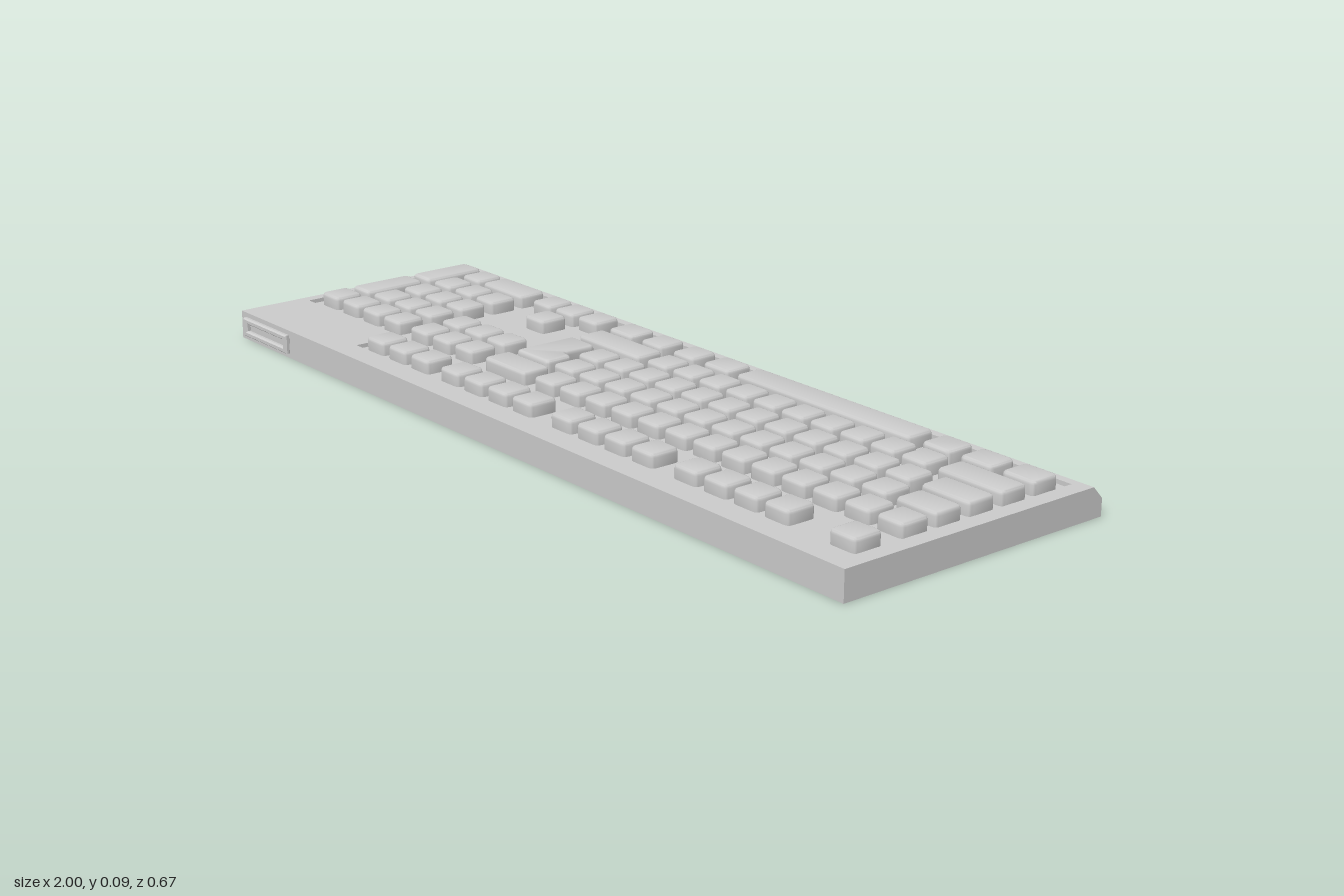
import * as THREE from 'three';
import { toCreasedNormals } from 'three/addons/utils/BufferGeometryUtils.js';

const mat = new THREE.MeshStandardMaterial({ color: 0xcccccc });
const DECK = 0.055, TOP = 0.064, KEY_TOP = 0.085;
const BACK = -0.335, FRONT = 0.325;
const PITCH = 0.0846, KEY = 0.068;

function polygon(points, Kind = THREE.Shape) {
  return new Kind(points.map(([x, y]) => new THREE.Vector2(x, y)));
}

function part(name, geometry, parent) {
  const mesh = new THREE.Mesh(geometry, mat);
  mesh.name = name;
  parent.add(mesh);
  return mesh;
}

// Outline with every corner rounded, drawn in plan (x, -z)
function roundedOutline(points, r) {
  const shape = new THREE.Shape();
  const p = points.map(([x, z]) => new THREE.Vector2(x, -z));
  p.forEach((c, i) => {
    const prev = p[(i + p.length - 1) % p.length], next = p[(i + 1) % p.length];
    const a = prev.clone().sub(c).setLength(r).add(c);
    const b = next.clone().sub(c).setLength(r).add(c);
    if (i === 0) shape.moveTo(a.x, a.y); else shape.lineTo(a.x, a.y);
    shape.quadraticCurveTo(c.x, c.y, b.x, b.y);
  });
  shape.closePath();
  return shape;
}

// Key cap with soft top edges, standing on the deck
function keyGeometry(points) {
  const bevel = 0.009, base = DECK - 0.012;
  const geo = new THREE.ExtrudeGeometry(roundedOutline(points, 0.012), {
    depth: KEY_TOP - base - 2 * bevel, curveSegments: 4,
    bevelEnabled: true, bevelThickness: bevel, bevelSize: 0.006, bevelOffset: -0.006, bevelSegments: 3,
  });
  geo.rotateX(-Math.PI / 2).translate(0, base + bevel, 0);
  return toCreasedNormals(geo, 0.7);
}

function addKey(parent, name, x0, x1, z0, z1) {
  const w = (x1 - x0) / 2, d = (z1 - z0) / 2;
  const mesh = part(name, keyGeometry([[-w, -d], [-w, d], [w, d], [w, -d]]), parent);
  mesh.position.set((x0 + x1) / 2, 0, (z0 + z1) / 2);
}

export function createModel() {
  const model = new THREE.Group();
  model.name = 'keyboard';

  // Lower case: side profile with the start of the rear chamfer, run along x
  const chamferZ = -0.31 - (TOP - DECK) * 0.025 / 0.027;
  const profile = polygon([[-FRONT, 0], [-BACK, 0], [-BACK, 0.037], [-chamferZ, DECK], [-FRONT, DECK]]);
  const lower = new THREE.ExtrudeGeometry(profile, { depth: 2, bevelEnabled: false });
  lower.translate(0, 0, -1).rotateY(Math.PI / 2);
  part('caseBase', lower, model);

  // Upper rim around the key well
  const rimShape = polygon([[-1, -FRONT], [1, -FRONT], [1, 0.31], [-1, 0.31]]);
  const well = [[-0.975, 0.29], [0.963, 0.29], [0.963, -0.267], [-0.607, -0.267], [-0.607, -0.187], [-0.635, -0.16], [-0.975, -0.16]];
  rimShape.holes.push(polygon(well, THREE.Path));
  const rim = new THREE.ExtrudeGeometry(rimShape, { depth: TOP - DECK, bevelEnabled: false });
  rim.rotateX(-Math.PI / 2).translate(0, DECK, 0);
  // Lean the back face out to meet the chamfer
  const pos = rim.attributes.position;
  for (let i = 0; i < pos.count; i++) {
    if (pos.getY(i) < DECK + 0.001 && pos.getZ(i) < -0.305) pos.setZ(i, chamferZ);
  }
  rim.computeVertexNormals();
  part('caseRim', rim, model);

  // Framed socket on the front face
  const socket = polygon([[-0.976, 0.014], [-0.797, 0.014], [-0.797, 0.051], [-0.976, 0.051]]);
  socket.holes.push(polygon([[-0.968, 0.021], [-0.968, 0.044], [-0.805, 0.044], [-0.805, 0.021]], THREE.Path));
  const frame = new THREE.ExtrudeGeometry(socket, {
    depth: 0.006, bevelEnabled: true, bevelThickness: 0.004, bevelSize: 0.003, bevelSegments: 1,
  });
  part('frontSocketFrame', frame, model).position.z = FRONT + 0.001;

  // Keys, rows listed from front to back
  const keys = new THREE.Group();
  keys.name = 'keys';
  model.add(keys);
  const rowZ = [0.217, 0.103, 0.018, -0.067, -0.152, -0.236];
  const rowKey = (name, row, x0, x1) => addKey(keys, name, x0, x1, rowZ[row] - KEY / 2, rowZ[row] + KEY / 2);
  const run = (name, row, firstX, count) => {
    for (let i = 0; i < count; i++) {
      const x = firstX + i * PITCH;
      rowKey(name, row, x - KEY / 2, x + KEY / 2);
    }
  };

  const PAD = -0.837, NAV = -0.559;
  // Separate front row in groups
  run('frontRowKey', 0, NAV, 3);
  [-0.278, 0.107, 0.489].forEach((x) => run('frontRowKey', 0, x, 4));
  run('cornerKey', 0, 0.914, 1);

  // Main block
  [[1, -0.1, 13], [2, -0.145, 12], [3, -0.17, 12], [4, -0.043, 10]].forEach(([row, x, n]) => run('mainKey', row, x, n));
  [[1, -0.31, -0.166], [2, 0.843, 0.948], [3, 0.823, 0.948], [4, -0.31, -0.102], [4, 0.781, 0.948]]
    .forEach(([row, x0, x1]) => rowKey('wideKey', row, x0, x1));
  [[-0.31, -0.23], [-0.198, -0.127], [-0.091, -0.021], [0.011, 0.091], [0.658, 0.733], [0.759, 0.84], [0.866, 0.948]]
    .forEach(([x0, x1]) => rowKey('modifierKey', 5, x0, x1));
  rowKey('spaceBar', 5, 0.118, 0.626);

  // Stepped tall key spanning two rows
  const z0 = rowZ[3] - KEY / 2, z1 = rowZ[2] + KEY / 2, step = rowZ[2] - KEY / 2;
  part('steppedKey', keyGeometry([[-0.31, z0], [-0.31, z1], [-0.2, z1], [-0.2, step], [-0.228, step], [-0.228, z0]]), keys);

  // Navigation cluster and arrows
  [1, 2, 5].forEach((row) => run('navigationKey', row, NAV, 3));
  run('navigationKey', 4, NAV + PITCH, 1);

  // Number pad
  run('padKey', 1, PAD - PITCH, 4);
  [2, 3, 4].forEach((row) => run('padKey', row, PAD, 3));
  run('padKey', 5, PAD, 1);
  rowKey('widePadKey', 5, -0.787, -0.634);
  [2, 4].forEach((row) => addKey(keys, 'tallPadKey', PAD - PITCH - KEY / 2, PAD - PITCH + KEY / 2,
    rowZ[row + 1] - KEY / 2, rowZ[row] + KEY / 2));

  return model;
}
